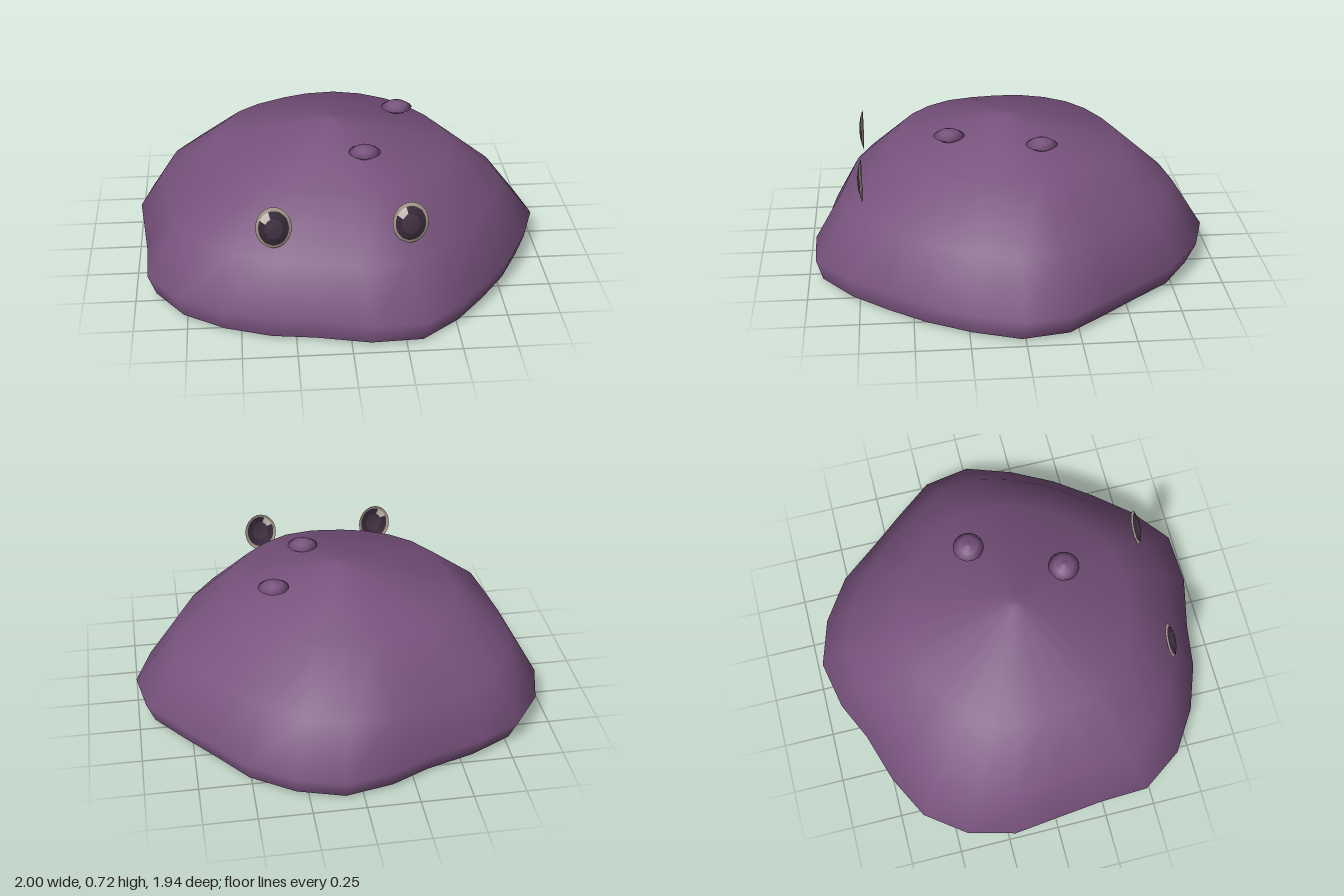
import * as THREE from 'three';

const skin = new THREE.MeshStandardMaterial({ name: 'purple skin', color: 0x77527c });
const rimMat = new THREE.MeshStandardMaterial({ name: 'beige eye rim', color: 0xa89a8c, side: THREE.DoubleSide });
const irisMat = new THREE.MeshStandardMaterial({ name: 'dark iris', color: 0x3a2b3c, side: THREE.DoubleSide });
const pupilMat = new THREE.MeshStandardMaterial({ name: 'plum pupil', color: 0x473648, side: THREE.DoubleSide });
const glintMat = new THREE.MeshStandardMaterial({ name: 'pale glint', color: 0xd6cac4, side: THREE.DoubleSide });

// widest outline of the blob as [x, z], from the back round through +x
const OUTLINE = [
  [0.09, -0.97], [0.32, -0.9], [0.53, -0.76], [0.68, -0.57], [0.82, -0.4], [0.96, -0.22],
  [1, 0.01], [0.92, 0.24], [0.81, 0.45], [0.68, 0.63], [0.53, 0.81], [0.34, 0.96],
  [0.09, 0.97], [-0.17, 0.91], [-0.38, 0.88], [-0.6, 0.8], [-0.8, 0.67], [-0.94, 0.47],
  [-0.95, 0.23], [-0.975, 0], [-1, -0.22], [-0.94, -0.45], [-0.8, -0.64], [-0.59, -0.75],
  [-0.34, -0.83], [-0.15, -0.92],
];
// cross-sections: height, scale, roundness, centre x, centre z
const RINGS = [
  [0.015, 0.96, 0, 0, 0.01],
  [0.12, 1, 0, 0, 0],
  [0.35, 0.845, 0.3, -0.025, 0.005],
  [0.58, 0.57, 0.7, -0.03, 0.015],
  [0.71, 0.03, 1, -0.03, 0.02],
];

function ringPoints([y, s, round, cx, cz]) {
  return OUTLINE.map(([x, z]) => {
    const k = s * (1 - round + round / Math.hypot(x, z));
    return [cx + x * k, y, cz + z * k];
  });
}

function makeGeometry(points, index) {
  const g = new THREE.BufferGeometry();
  g.setAttribute('position', new THREE.Float32BufferAttribute(points.flat(), 3));
  g.setIndex(index);
  g.computeVertexNormals();
  return g;
}

function bodyGeometry() {
  const n = OUTLINE.length;
  const points = RINGS.flatMap(ringPoints);
  const index = [];
  for (let r = 0; r < RINGS.length - 1; r++) {
    for (let i = 0; i < n; i++) {
      const a = r * n + i, b = r * n + (i + 1) % n;
      index.push(a, a + n, b, b, a + n, b + n);
    }
  }
  const top = points.length, last = (RINGS.length - 1) * n;
  points.push([-0.03, 0.711, 0.02]);
  for (let i = 0; i < n; i++) index.push(last + i, top, last + (i + 1) % n);
  return makeGeometry(points, index);
}

// underside sags slightly towards its centre
function baseGeometry() {
  const points = ringPoints(RINGS[0]);
  const n = points.length;
  points.push([0, 0, 0]);
  const index = [];
  for (let i = 0; i < n; i++) index.push(n, i, (i + 1) % n);
  return makeGeometry(points, index);
}

function part(parent, name, geometry, material) {
  const mesh = new THREE.Mesh(geometry, material);
  mesh.name = name;
  parent.add(mesh);
  return mesh;
}

// one zone of the shallow oval eye shell
function eyeZone(inner, outer, start = 0, sweep = Math.PI * 2) {
  const g = new THREE.RingGeometry(inner, outer, 32, 3, start, sweep);
  const p = g.attributes.position;
  for (let i = 0; i < p.count; i++) {
    const x = p.getX(i), y = p.getY(i);
    p.setXYZ(i, x * 0.082, y * 0.106, 0.02 * (1 - x * x - y * y));
  }
  g.computeVertexNormals();
  return g;
}

function makeEye() {
  const eye = new THREE.Group();
  const a = 1.9, w = 0.75;
  part(eye, 'eyeRim', eyeZone(0.84, 1), rimMat);
  part(eye, 'iris', eyeZone(0.5, 0.84, a + w, Math.PI * 2 - w), irisMat);
  part(eye, 'glint', eyeZone(0.5, 0.84, a, w), glintMat);
  part(eye, 'pupil', eyeZone(0, 0.5), pupilMat);
  return eye;
}

export function createModel() {
  const model = new THREE.Group();
  model.name = 'blob';
  part(model, 'body', bodyGeometry(), skin);
  part(model, 'base', baseGeometry(), skin);

  // floating eyes
  [['rightEye', -0.34], ['leftEye', 0.28]].forEach(([name, x]) => {
    const eye = makeEye();
    eye.name = name;
    eye.position.set(x, 0.512, 0.725);
    model.add(eye);
  });

  // lens-shaped bumps on top
  const profile = [[0, -0.035], [0.045, -0.02], [0.076, 0], [0.045, 0.02], [0, 0.035]]
    .map(([x, y]) => new THREE.Vector2(x, y));
  const bump = new THREE.LatheGeometry(profile, 16);
  part(model, 'backBump', bump, skin).position.set(0.31, 0.682, -0.13);
  part(model, 'frontBump', bump, skin).position.set(0.11, 0.657, 0.3);
  return model;
}
